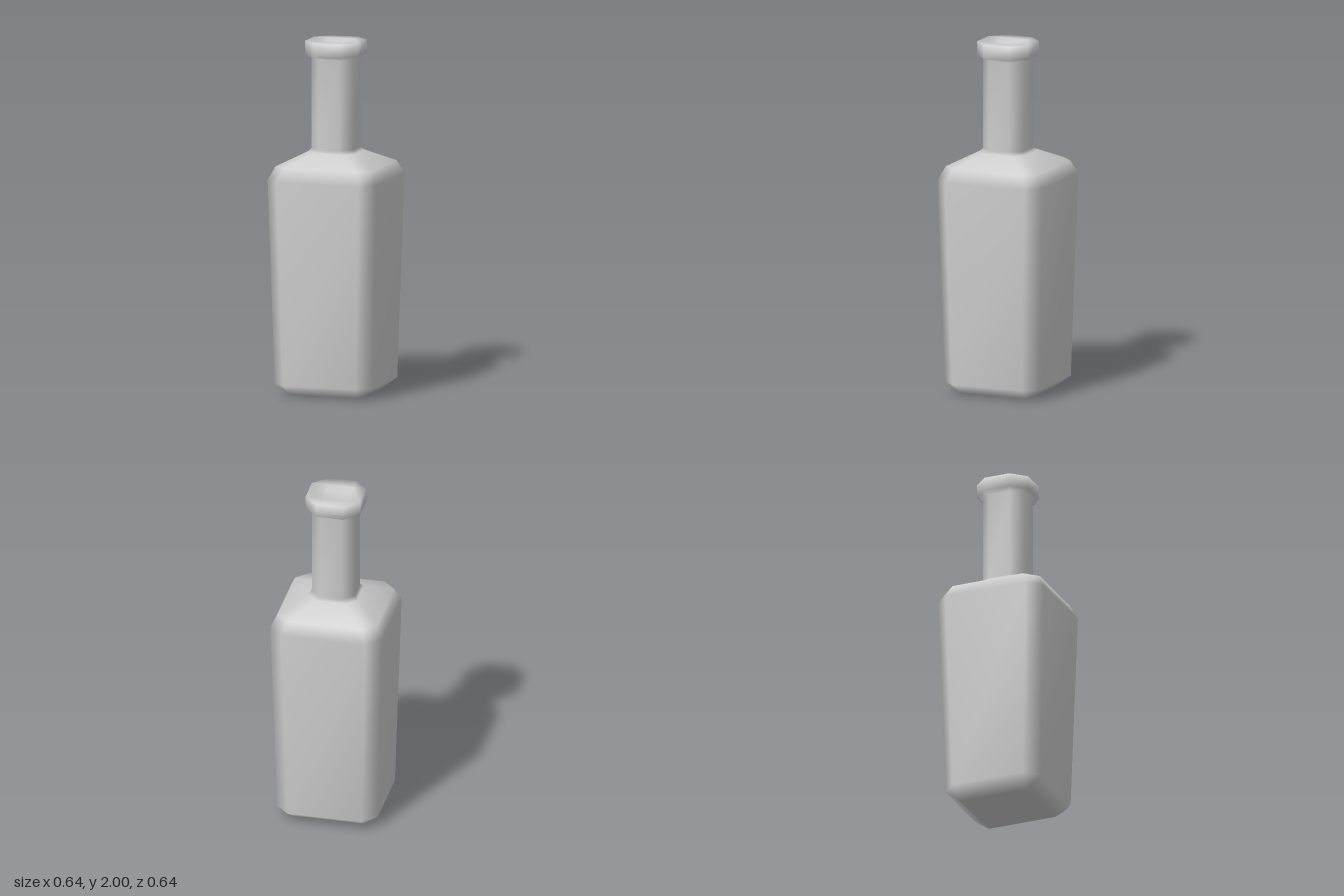
import * as THREE from 'three';
import { mergeVertices } from 'three/addons/utils/BufferGeometryUtils.js';

// Octagonal ring: a = half width, b = half length of the flat side (b = a gives a square)
function ring(y, a, b) {
  return [[a, b], [b, a], [-b, a], [-a, b], [-a, -b], [-b, -a], [b, -a], [a, -b]]
    .flatMap(([x, z]) => [x, y, z]);
}

// Smooth skin through a stack of rings, closed at both ends
function loft(sections) {
  const index = [];
  const last = (sections.length - 1) * 8;
  for (let s = 0; s < last; s += 8) {
    for (let i = 0; i < 8; i++) {
      const j = (i + 1) % 8;
      index.push(s + i, s + 8 + i, s + j, s + j, s + 8 + i, s + 8 + j);
    }
  }
  for (let i = 1; i < 7; i++) {
    index.push(0, i, i + 1);
    index.push(last, last + i + 1, last + i);
  }
  const geometry = new THREE.BufferGeometry();
  const points = sections.flatMap((s) => ring(...s));
  geometry.setAttribute('position', new THREE.Float32BufferAttribute(points, 3));
  geometry.setIndex(index);
  const welded = mergeVertices(geometry, 1e-4);
  welded.computeVertexNormals();
  return welded;
}

export function createModel() {
  const glass = new THREE.MeshStandardMaterial({ color: 0xcccccc });
  glass.name = 'pale grey';

  const bottle = new THREE.Mesh(loft([
    // base and tapered body
    [0, 0.2, 0.2],
    [0.065, 0.29, 0.215],
    [1.225, 0.322, 0.245],
    // shoulder
    [1.3, 0.285, 0.215],
    [1.372, 0.14, 0.085],
    // neck
    [1.39, 0.125, 0.062],
    [1.905, 0.125, 0.062],
    // lip
    [1.922, 0.157, 0.078],
    [2, 0.157, 0.078],
    // shallow square mouth
    [2, 0.08, 0.08],
    [1.97, 0.078, 0.078],
  ]), glass);
  bottle.name = 'bottle';

  const group = new THREE.Group();
  group.name = 'squareBottle';
  group.add(bottle);
  return group;
}
